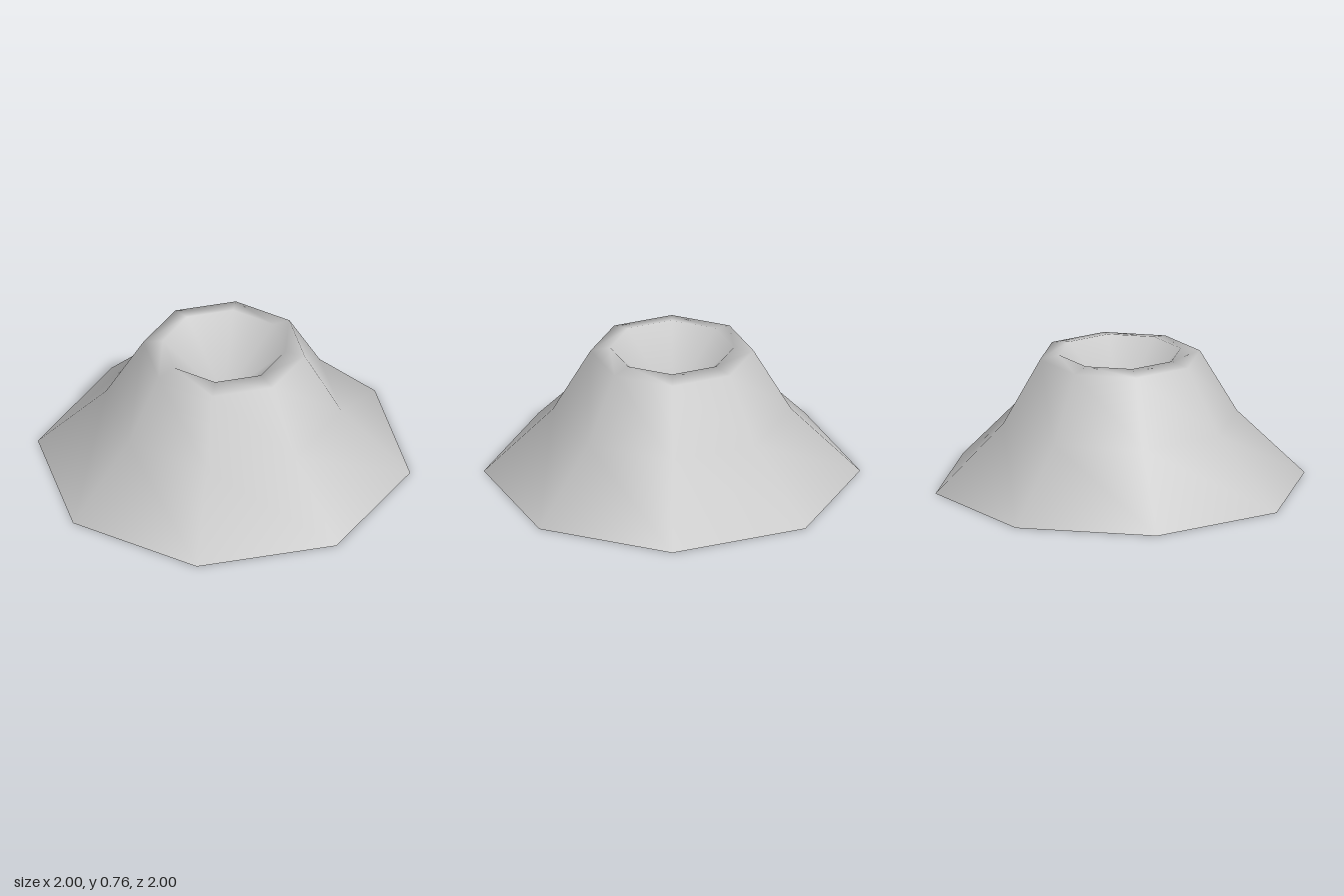
import * as THREE from 'three';

export function createModel() {
  const model = new THREE.Group();
  model.name = 'volcano';
  const stone = new THREE.MeshStandardMaterial({ color: 0xc8c8c8, side: THREE.DoubleSide });
  stone.name = 'grey stone';

  // Profile from the open base, over the waist and rim, down to the crater tip
  const tip = 0.42;
  const profile = [
    [1.05, 0], [0.665, 0.385], [0.455, 0.745], [0.345, 0.765], [0, tip],
  ].map(([r, y]) => new THREE.Vector2(r, y));

  // Eight smooth-shaded sides, turned slightly about the axis
  const geometry = new THREE.LatheGeometry(profile, 8, THREE.MathUtils.degToRad(17.7), Math.PI * 2);

  // The crater tip shades as one point facing straight up
  const { position, normal } = geometry.attributes;
  for (let i = 0; i < position.count; i++) {
    if (Math.abs(position.getY(i) - tip) < 1e-4) normal.setXYZ(i, 0, 1, 0);
  }

  const mountain = new THREE.Mesh(geometry, stone);
  mountain.name = 'slopesAndCrater';
  model.add(mountain);
  return model;
}
